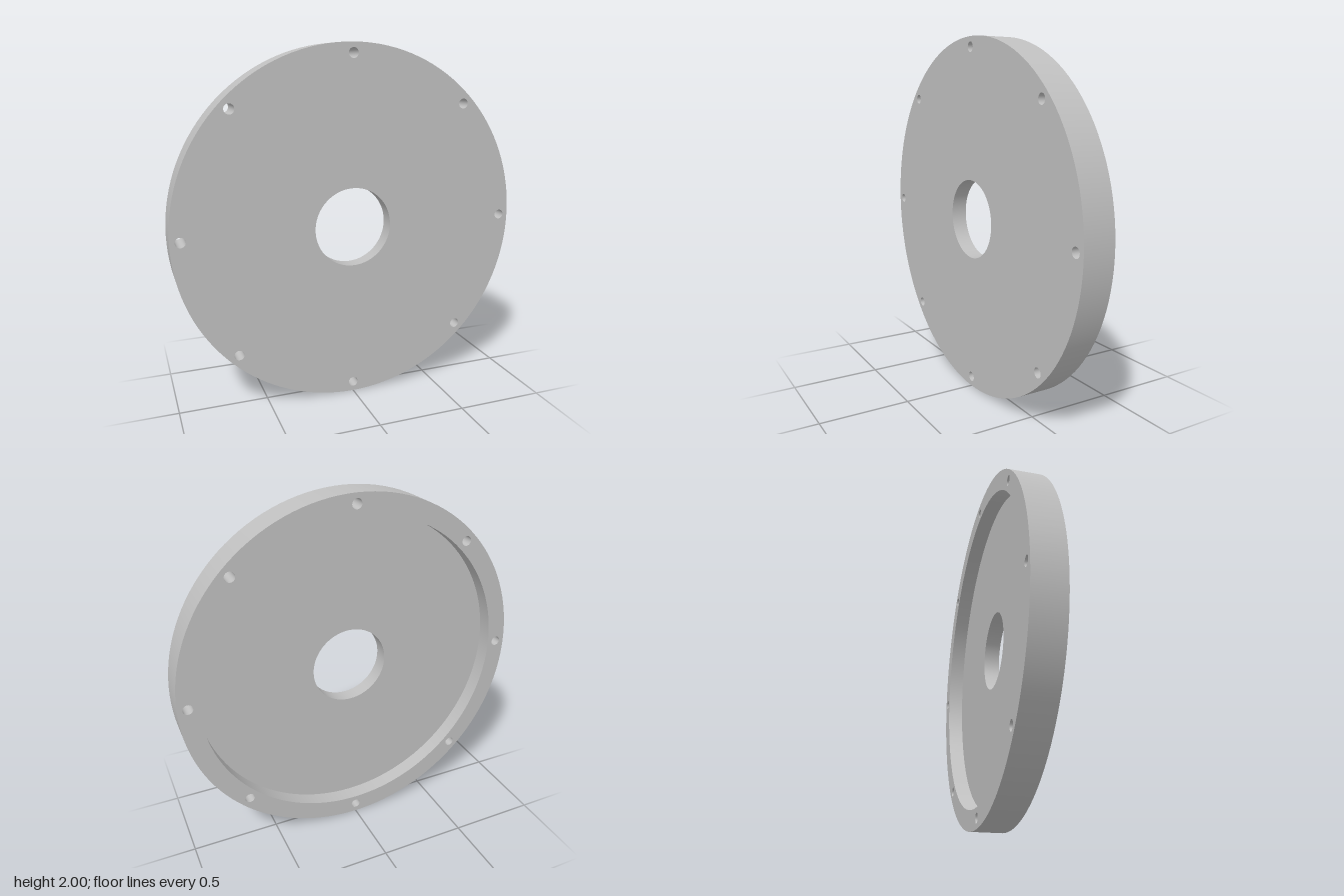
import * as THREE from 'three';

const R = 1, RECESS = 0.889, BORE = 0.222, BOLT = 0.028, BOLT_CIRCLE = 0.944;
const FRONT = 0.089, FLOOR = 0, BACK = -0.089;

export function createModel() {
  const model = new THREE.Group();
  model.name = 'flangeCover';
  const metal = new THREE.MeshStandardMaterial({ color: 0xbfbfbf });
  metal.name = 'plain grey metal';

  const add = (name, geometry, x = 0, y = 0) => {
    const mesh = new THREE.Mesh(geometry, metal);
    mesh.name = name;
    mesh.position.set(x, y + R, 0);
    model.add(mesh);
  };

  const bolts = Array.from({ length: 8 }, (_, i) => {
    const a = (i * Math.PI) / 4;
    return [BOLT_CIRCLE * Math.cos(a), BOLT_CIRCLE * Math.sin(a)];
  });

  // Points of a circle, matching the wall segments below
  const circle = (r, n, x = 0, y = 0) => Array.from({ length: n }, (_, i) => {
    const a = (i * 2 * Math.PI) / n;
    return new THREE.Vector2(x + r * Math.cos(a), y + r * Math.sin(a));
  });

  // Flat ring with optional bolt holes, facing front or back
  const face = (outer, inner, z, back, drilled) => {
    const shape = new THREE.Shape(circle(outer, 128));
    shape.holes.push(new THREE.Path(circle(inner, 128)));
    if (drilled) bolts.forEach(([x, y]) => shape.holes.push(new THREE.Path(circle(BOLT, 24, x, y))));
    const g = new THREE.ShapeGeometry(shape);
    if (back) g.rotateY(Math.PI);
    return g.translate(0, 0, z);
  };

  // Round wall along z: rising z faces outward, falling z faces inward
  const wall = (r, z0, z1, n = 128) => new THREE.LatheGeometry(
    [new THREE.Vector2(r, z0), new THREE.Vector2(r, z1)], n).rotateX(Math.PI / 2);

  // Faces
  add('frontFace', face(R, BORE, FRONT, false, true));
  add('backRim', face(R, RECESS, BACK, true, true));
  add('recessFloor', face(RECESS, BORE, FLOOR, true, false));

  // Walls
  add('outerWall', wall(R, BACK, FRONT));
  add('recessWall', wall(RECESS, FLOOR, BACK));
  add('centreBore', wall(BORE, FRONT, FLOOR));
  bolts.forEach(([x, y]) => add('boltHole', wall(BOLT, FRONT, BACK, 24), x, y));

  return model;
}
